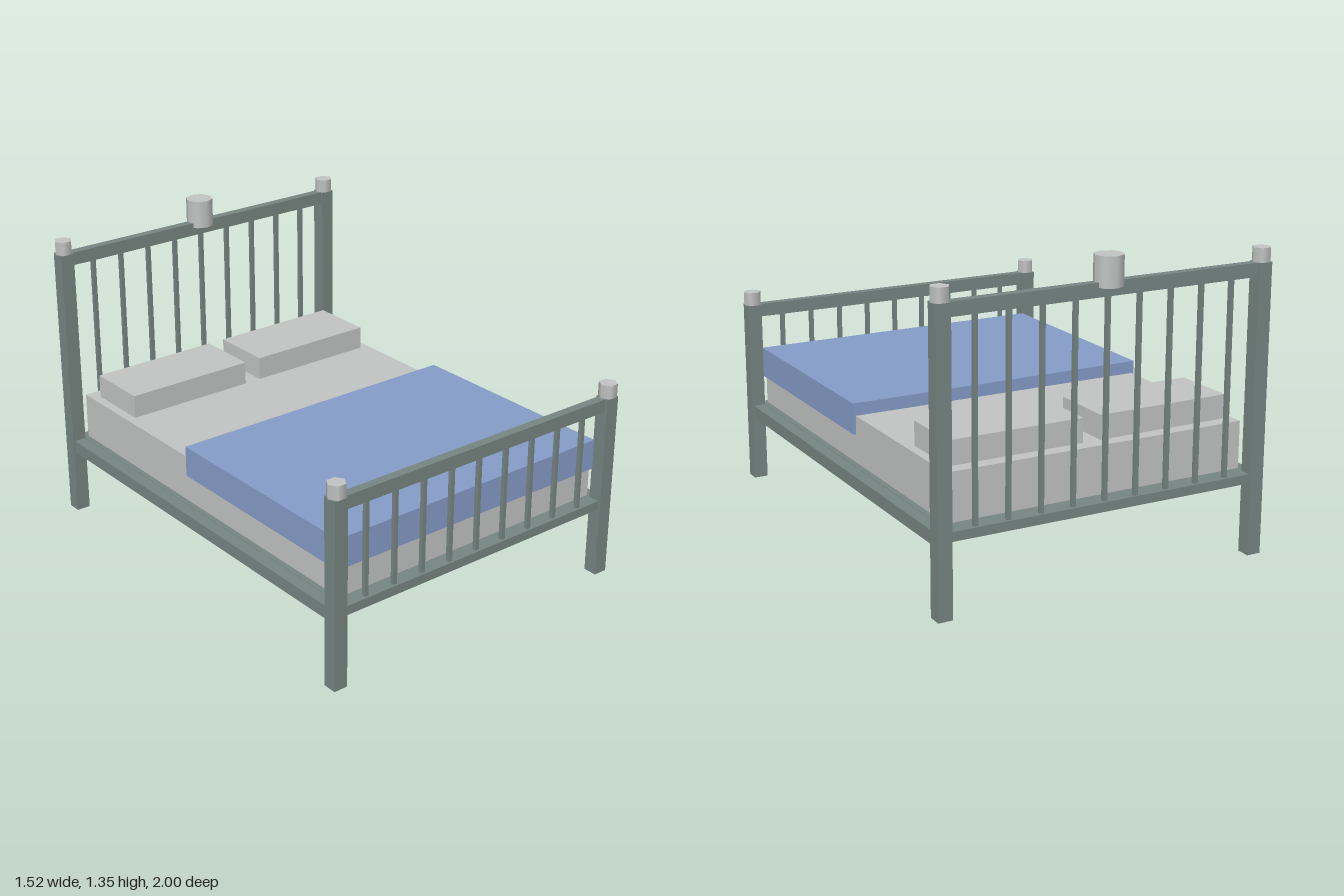
import * as THREE from 'three';

const material = (name, color) => {
  const m = new THREE.MeshStandardMaterial({ color });
  m.name = name;
  return m;
};

export function createModel() {
  const frame = material('greenGreyFrame', 0x778682);
  const pale = material('paleGrey', 0xc2c4c4);
  const blue = material('blueBlanket', 0x859cc8);
  const bed = new THREE.Group();
  bed.name = 'bed';

  // Box given by its extents on each axis
  const box = (parent, name, mat, [x0, x1], [y0, y1], [z0, z1]) => {
    const mesh = new THREE.Mesh(new THREE.BoxGeometry(x1 - x0, y1 - y0, z1 - z0), mat);
    mesh.position.set((x0 + x1) / 2, (y0 + y1) / 2, (z0 + z1) / 2);
    mesh.name = name;
    parent.add(mesh);
  };

  // Upright cylinder standing on y0
  const knob = (parent, name, radius, sides, x, [y0, y1], z, turn = 0) => {
    const mesh = new THREE.Mesh(new THREE.CylinderGeometry(radius, radius, y1 - y0, sides), pale);
    mesh.position.set(x, (y0 + y1) / 2, z);
    mesh.rotation.y = turn;
    mesh.name = name;
    parent.add(mesh);
  };

  // One end of the bed: posts with caps, top rail and spindles
  const endBoard = (name, z, top) => {
    const board = new THREE.Group();
    board.name = name;
    for (const s of [-1, 1]) {
      const x = s * 0.7225;
      box(board, 'post', frame, [x - 0.0315, x + 0.0315], [0, top], [z - 0.0315, z + 0.0315]);
      knob(board, 'postCap', 0.04, 6, x, [top, top + 0.06], z, Math.PI / 6);
    }
    box(board, 'topRail', frame, [-0.692, 0.692], [top - 0.058, top], [z - 0.02, z + 0.02]);
    for (let i = -4; i <= 4; i++) {
      const x = i * 0.1445;
      box(board, 'spindle', frame, [x - 0.009, x + 0.009], [0.35, top - 0.055], [z - 0.009, z + 0.009]);
    }
    bed.add(board);
  };
  endBoard('headboard', -0.937, 1.245);
  endBoard('footboard', 0.966, 0.83);
  knob(bed, 'headboardKnob', 0.061, 8, 0, [1.225, 1.35], -0.939);

  // Base platform and side rails
  box(bed, 'platform', frame, [-0.692, 0.692], [0.314, 0.354], [-0.957, 0.986]);
  for (const s of [-1, 1]) {
    const x = s * 0.7175;
    box(bed, 'sideRail', frame, [x - 0.0275, x + 0.0275], [0.295, 0.352], [-0.908, 0.937]);
  }

  // Bedding
  box(bed, 'mattress', pale, [-0.68, 0.68], [0.365, 0.57], [-0.895, 0.93]);
  box(bed, 'blanket', blue, [-0.692, 0.692], [0.49, 0.625], [-0.077, 0.938]);
  for (const s of [-1, 1]) {
    box(bed, 'pillow', pale, [s * 0.34 - 0.3, s * 0.34 + 0.3], [0.565, 0.674], [-0.835, -0.547]);
  }
  return bed;
}
